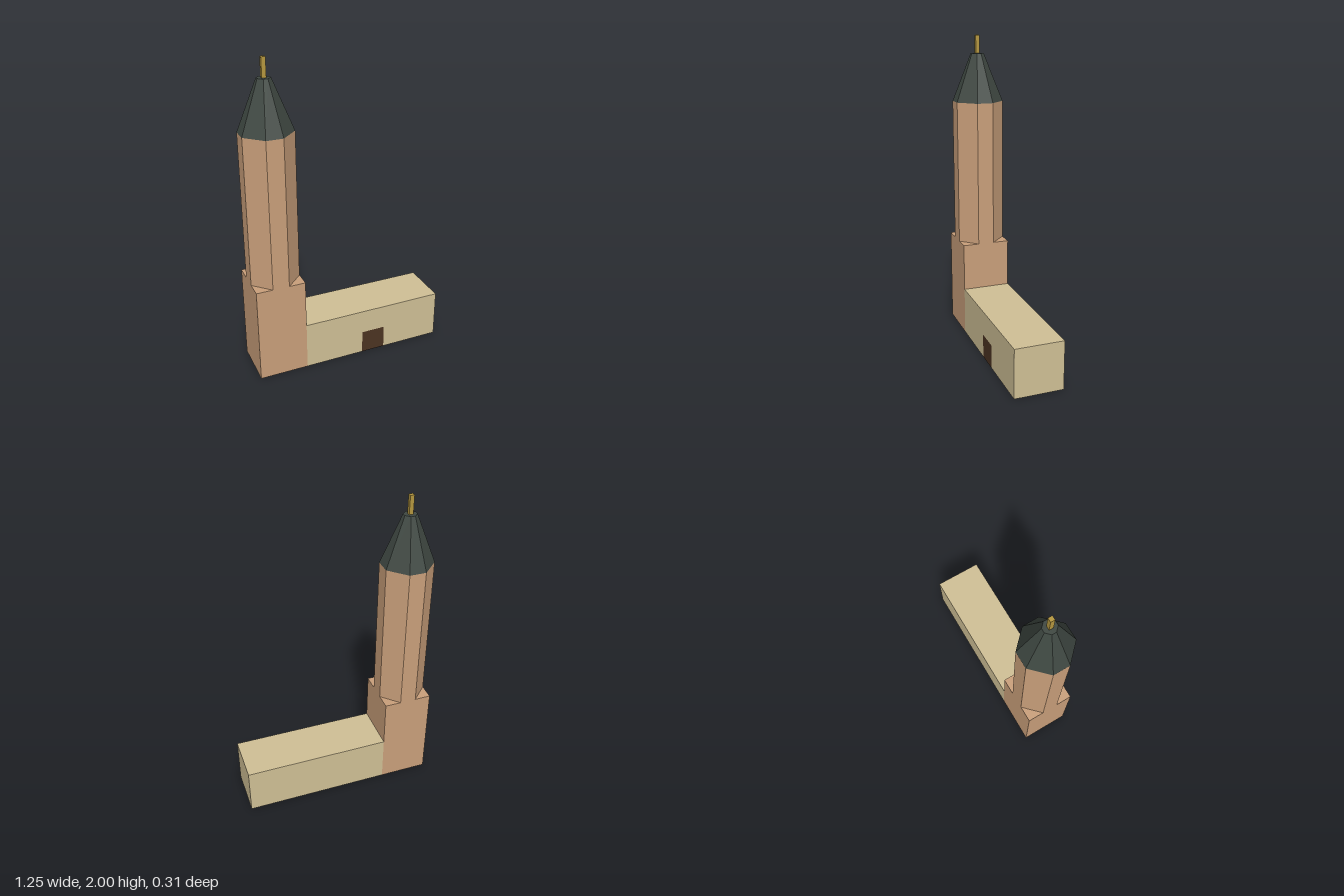
import * as THREE from 'three';

const mat = (name, color) => {
  const m = new THREE.MeshStandardMaterial({ color, side: THREE.DoubleSide, flatShading: true });
  m.name = name;
  return m;
};

// Footprint corners [x, z], starting at the front and running to +x
const square = (r) => [[-r, r], [r, r], [r, -r], [-r, -r]];
const octagon = (r) => {
  const s = r / 3;
  return [[-s, r], [s, r], [r, s], [r, -s], [s, -r], [-s, -r], [-r, -s], [-r, s]];
};

// Open walls between a lower and an upper outline
function walls(lower, upper, y0, y1, closed = true) {
  const pos = [];
  const n = lower.length;
  for (let i = 0; i < (closed ? n : n - 1); i++) {
    const j = (i + 1) % n;
    const a = [lower[i][0], y0, lower[i][1]];
    const b = [lower[j][0], y0, lower[j][1]];
    const c = [upper[j][0], y1, upper[j][1]];
    const d = [upper[i][0], y1, upper[i][1]];
    pos.push(...a, ...b, ...c, ...a, ...c, ...d);
  }
  const g = new THREE.BufferGeometry();
  g.setAttribute('position', new THREE.Float32BufferAttribute(pos, 3));
  g.computeVertexNormals();
  return g;
}

// Flat lid facing up
function lid(points, y) {
  const shape = new THREE.Shape(points.map(([x, z]) => new THREE.Vector2(x, -z)));
  return new THREE.ShapeGeometry(shape).rotateX(-Math.PI / 2).translate(0, y, 0);
}

export function createModel() {
  const model = new THREE.Group();
  model.name = 'towerBuilding';
  const brick = mat('brick', 0xc99f7a);
  const sand = mat('sandstone', 0xcfbf95);
  const slate = mat('slate', 0x3e4741);
  const gold = mat('gold', 0xb5973f);
  const wood = mat('darkWood', 0x4b3322);

  const R = 0.157, TX = -0.47, WING = 0.314, BASE = 0.628, EAVES = 1.574, PEAK = 1.884;
  const add = (parent, name, geometry, material) => {
    const mesh = new THREE.Mesh(geometry, material);
    mesh.name = name;
    parent.add(mesh);
    return mesh;
  };

  // Tower: square base (open into the wing), octagonal shaft, roof and spire
  const tower = new THREE.Group();
  tower.name = 'tower';
  tower.position.x = TX;
  model.add(tower);
  const sq = square(R);
  const threeSides = [sq[2], sq[3], sq[0], sq[1]];
  add(tower, 'towerBaseLower', walls(threeSides, threeSides, 0, WING, false), brick);
  add(tower, 'towerBaseUpper', walls(sq, sq, WING, BASE), brick);
  add(tower, 'towerBaseTop', lid(sq, BASE), brick);
  add(tower, 'towerShaft', walls(octagon(R), octagon(R), BASE, EAVES), brick);
  add(tower, 'towerRoof', walls(octagon(R), octagon(0.04), EAVES, PEAK), slate);
  add(tower, 'towerRoofCap', lid(octagon(0.04), PEAK), slate);
  add(tower, 'spire', new THREE.BoxGeometry(0.026, 2 - PEAK, 0.026), gold)
    .position.y = (2 + PEAK) / 2;

  // Wing: open underneath, with a doorway in the front wall
  const x0 = TX + R, x1 = 0.626, d0 = 0.078, d1 = 0.236, dh = 0.154;
  const wing = new THREE.Group();
  wing.name = 'wing';
  model.add(wing);
  const front = new THREE.Shape([
    [x0, 0], [d0, 0], [d0, dh], [d1, dh], [d1, 0], [x1, 0], [x1, WING], [x0, WING],
  ].map(([x, y]) => new THREE.Vector2(x, y)));
  add(wing, 'wingFront', new THREE.ShapeGeometry(front), sand).position.z = R;
  const sides = [[x1, R], [x1, -R], [x0, -R]];
  add(wing, 'wingSides', walls(sides, sides, 0, WING, false), sand);
  add(wing, 'wingRoof', lid([[x0, R], [x1, R], [x1, -R], [x0, -R]], WING), sand);
  add(wing, 'door', new THREE.PlaneGeometry(d1 - d0, dh), wood)
    .position.set((d0 + d1) / 2, dh / 2, R);

  return model;
}
